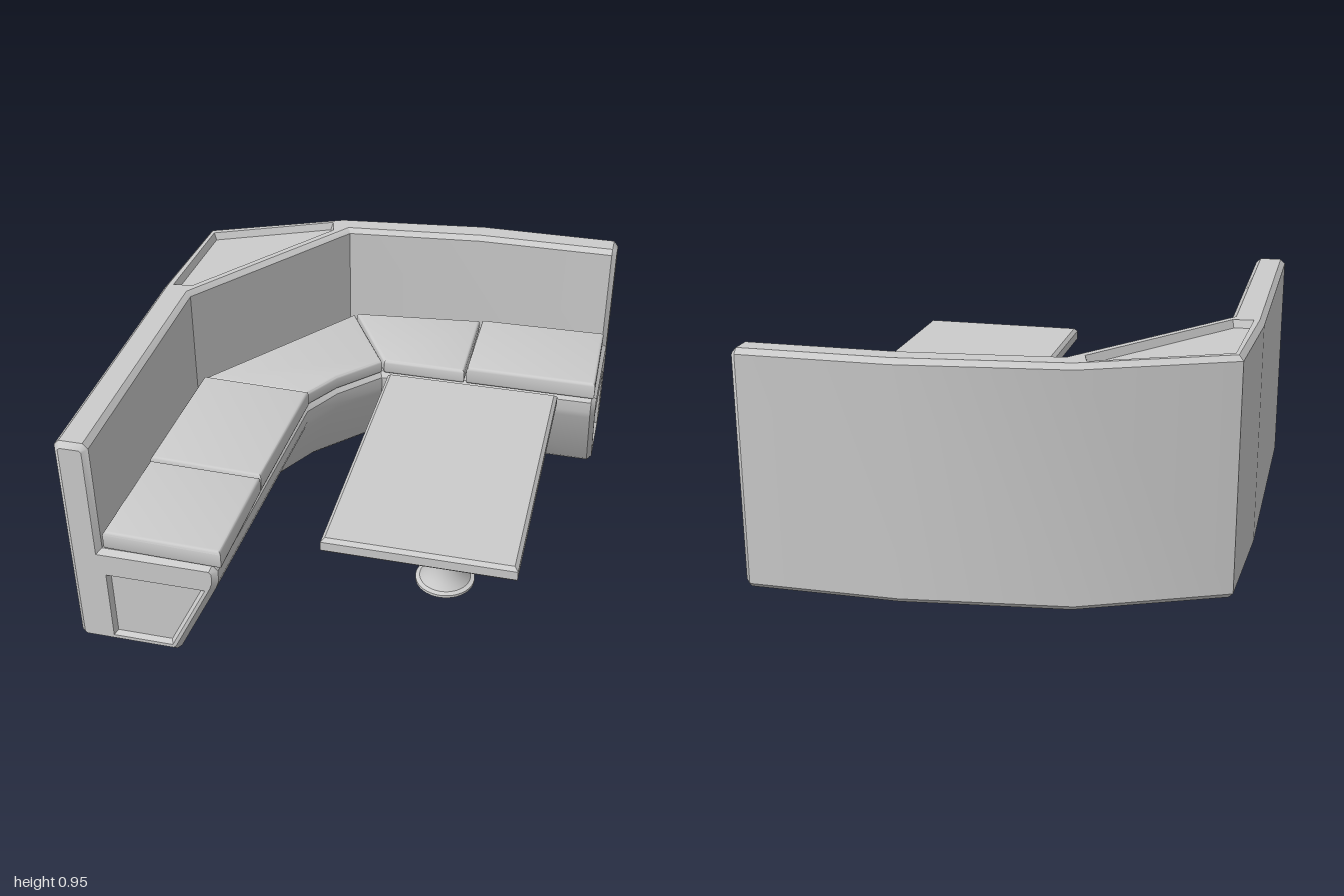
import * as THREE from 'three';
import { mergeGeometries, toCreasedNormals } from 'three/addons/utils/BufferGeometryUtils.js';

const V2 = (p) => new THREE.Vector2(p[0], p[1]);
const material = new THREE.MeshStandardMaterial({ color: 0xcccccc });

function mesh(name, geometry, crease = 0.6) {
  const m = new THREE.Mesh(toCreasedNormals(geometry, crease), material);
  m.name = name;
  return m;
}

// Shrinks a polygon inward by d with mitred corners.
function inset(points, d) {
  const p = points.map(V2), n = p.length;
  const s = THREE.ShapeUtils.isClockWise(p) ? -1 : 1;
  const normal = (a, b) => {
    const e = b.clone().sub(a).normalize();
    return new THREE.Vector2(-e.y * s, e.x * s);
  };
  return p.map((q, i) => {
    const n1 = normal(p[(i + n - 1) % n], q), n2 = normal(q, p[(i + 1) % n]);
    const m = n1.clone().add(n2).multiplyScalar(d / (1 + n1.dot(n2)));
    return [q.x + m.x, q.y + m.y];
  });
}

function fromTriangles(corners) {
  const g = new THREE.BufferGeometry();
  g.setAttribute('position', new THREE.Float32BufferAttribute(corners.flat(), 3));
  return g;
}

const quad = (a, b, c, d) => [a, b, c, a, c, d];

// Flat face with a sunken panel; map(a, b, depth) places it in space.
function recessedFace(outline, hole, depth, map) {
  const floor = inset(hole, 0.012);
  const frame = new THREE.Shape(outline.map(V2));
  frame.holes.push(new THREE.Path(hole.map(V2)));
  const flat = (shape, d) => {
    const g = new THREE.ShapeGeometry(shape).toNonIndexed(), p = g.attributes.position;
    return Array.from({ length: p.count }, (_, i) => map(p.getX(i), p.getY(i), d));
  };
  const tris = [...flat(frame, 0), ...flat(new THREE.Shape(floor.map(V2)), -depth)];
  const clockwise = THREE.ShapeUtils.isClockWise(hole.map(V2));
  hole.forEach((p, i) => {
    const j = (i + 1) % hole.length;
    const q = [map(...p, 0), map(...hole[j], 0), map(...floor[j], -depth), map(...floor[i], -depth)];
    tris.push(...(clockwise ? quad(...q.reverse()) : quad(...q)));
  });
  return fromTriangles(tris);
}

// Plan stations [x, z]: back wall, backrest face, seat lip, foot of the seat front.
const stations = [
  [[-0.91, 0.98], [-0.78, 0.98], [-0.33, 0.98], [-0.5, 0.98]],
  [[-0.91, -0.17], [-0.78, -0.12], [-0.28, -0.09], [-0.45, -0.15]],
  [[-0.88, -0.68], [-0.525, -0.47], [-0.19, -0.25], [-0.33, -0.36]],
  [[-0.33, -0.92], [-0.27, -0.82], [-0.03, -0.42], [-0.1, -0.6]],
  [[0.31, -1], [0.31, -0.88], [0.31, -0.425], [0.31, -0.59]],
  [[0.89, -1], [0.89, -0.88], [0.89, -0.43], [0.89, -0.59]],
];

// Cross-section of the bench at one station, as a closed loop of [x, y, z].
function section([back, rest, lip, foot]) {
  const shift = (p, q, d) => {
    const v = V2(q).sub(V2(p)).setLength(d);
    return [p[0] + v.x, p[1] + v.y];
  };
  const at = ([x, z], y) => [x, y, z];
  return [
    at(shift(back, rest, 0.02), 0.02), at(back, 0.04), at(back, 0.93),
    at(shift(back, rest, 0.02), 0.95), at(shift(rest, back, 0.02), 0.95), at(rest, 0.93),
    at(rest, 0.475), at(shift(lip, rest, 0.02), 0.475), at(lip, 0.45), at(lip, 0.4),
    at(shift(lip, foot, 0.012), 0.365), at(foot, 0.04), at(shift(foot, back, 0.02), 0.02),
  ];
}

function benchBody() {
  const rings = stations.map(section);
  const last = rings.length - 1;
  const frontMap = (a, b, d) => [a, b, 1 + d];
  const sideMap = (a, b, d) => [0.91 + d, b, -a];
  const frontCap = inset(rings[0].map(([x, y]) => [x, y]), 0.02);
  const sideCap = inset(rings[last].map(([, y, z]) => [-z, y]), 0.02);

  // Walls, with chamfered strips leading to both ends
  const all = [frontCap.map((p) => frontMap(...p, 0)), ...rings, sideCap.map((p) => sideMap(...p, 0))];
  const tris = [];
  for (let i = 0; i < all.length - 1; i++) {
    const chamfer = i === 0 || i === all.length - 2;
    all[i].forEach((p, j) => {
      if (j === 3 && !chamfer) return; // the rim is a separate face
      const k = (j + 1) % all[i].length;
      tris.push(...quad(p, all[i][k], all[i + 1][k], all[i + 1][j]));
    });
  }

  // Rim with the corner shelf, and the two panelled ends
  const plan = ([x, , z]) => [x, -z];
  const rim = [...rings.map((r) => plan(r[3])), ...rings.map((r) => plan(r[4])).reverse()];
  const shelf = [[-0.87, 0.17], [-0.79, 0.18], [-0.34, 0.8], [-0.36, 0.87], [-0.85, 0.65]];
  const frontPanel = [[-0.77, 0.36], [-0.77, 0.055], [-0.53, 0.055], [-0.38, 0.36]];
  const sidePanel = [[0.86, 0.36], [0.475, 0.36], [0.62, 0.055], [0.86, 0.055]];
  return mergeGeometries([
    fromTriangles(tris),
    recessedFace(rim, shelf, 0.03, (a, b, d) => [a, 0.95 + d, -b]),
    recessedFace(frontCap, frontPanel, 0.02, frontMap),
    recessedFace(sideCap, sidePanel, 0.02, sideMap),
  ].map((g) => { g.deleteAttribute('normal'); g.deleteAttribute('uv'); return g; }));
}

// Slab with bevelled edges from a plan outline [x, z].
function slab(outline, y0, y1, bevel, segments) {
  const g = new THREE.ExtrudeGeometry(new THREE.Shape(outline.map(([x, z]) => new THREE.Vector2(x, -z))), {
    depth: y1 - y0 - 2 * bevel, bevelThickness: bevel, bevelSize: bevel, bevelOffset: -bevel, bevelSegments: segments,
  });
  return g.rotateX(-Math.PI / 2).translate(0, y0 + bevel, 0);
}

export function createModel() {
  const model = new THREE.Group();
  model.name = 'cornerBooth';
  model.add(mesh('benchBody', benchBody()));

  // Seat cushions, from the front end round to the side end
  const cushions = new THREE.Group();
  cushions.name = 'cushions';
  [
    [0.555, [[-0.755, 0.52], [-0.3, 0.53], [-0.31, 0.995], [-0.77, 0.985]]],
    [0.555, [[-0.74, -0.105], [-0.275, -0.09], [-0.3, 0.52], [-0.76, 0.505]]],
    [0.54, [[-0.735, -0.12], [-0.28, -0.1], [-0.19, -0.25], [-0.03, -0.42], [-0.24, -0.78]]],
    [0.54, [[-0.23, -0.79], [0.33, -0.855], [0.335, -0.42], [-0.02, -0.42]]],
    [0.555, [[0.345, -0.84], [0.895, -0.85], [0.9, -0.42], [0.345, -0.42]]],
  ].forEach(([top, outline], i) => cushions.add(mesh(`cushion${i + 1}`, slab(outline, 0.474, top, 0.014, 3))));
  model.add(cushions);

  // Table
  const table = new THREE.Group();
  table.name = 'table';
  table.add(mesh('tableTop', slab([[0.035, -0.25], [0.757, -0.25], [0.757, 0.885], [0.035, 0.885]], 0.53, 0.595, 0.014, 1)));

  const pedestalProfile = [
    [0, 0], [0.122, 0], [0.122, 0.012], [0.105, 0.018], [0.088, 0.045], [0.076, 0.08], [0.07, 0.12],
    [0.07, 0.45], [0.08, 0.47], [0.105, 0.492], [0.105, 0.53], [0, 0.53],
  ];
  const pedestal = mesh('pedestal', new THREE.LatheGeometry(pedestalProfile.map(V2), 40));
  const footRing = mesh('footRing', new THREE.TorusGeometry(0.15, 0.009, 8, 48).rotateX(Math.PI / 2).scale(1, 1, 0.78), 1);
  const ringBar = mesh('footRingBar', new THREE.CylinderGeometry(0.007, 0.007, 0.23, 8).rotateX(Math.PI / 2), 1);
  for (const part of [pedestal, footRing, ringBar]) {
    part.position.set(0.407, part === pedestal ? 0 : 0.297, 0.32);
    table.add(part);
  }
  model.add(table);
  return model;
}
